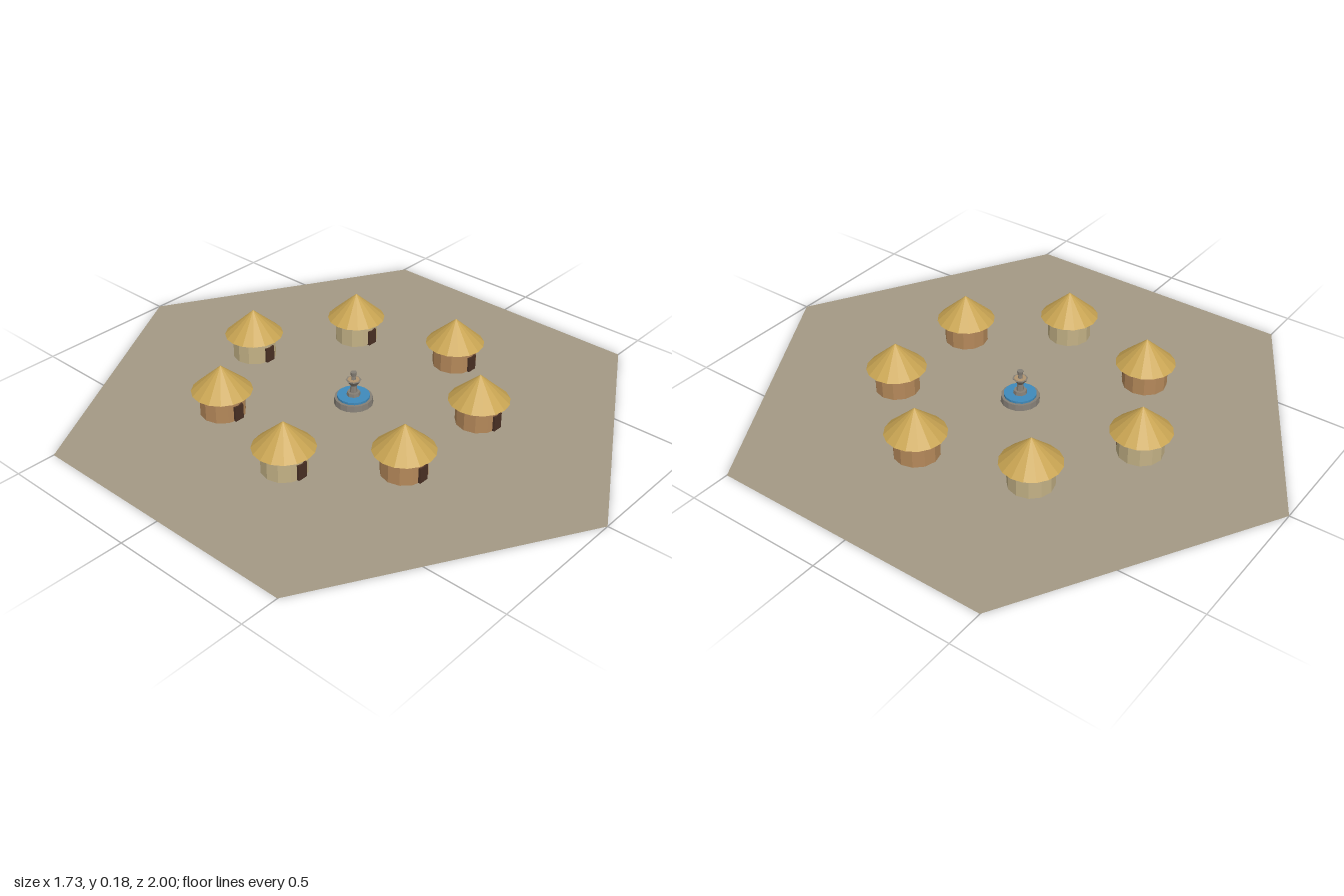
import * as THREE from 'three';

const material = (name, color, extra = {}) => {
  const m = new THREE.MeshStandardMaterial({ color, flatShading: true, ...extra });
  m.name = name;
  return m;
};

export function createModel() {
  const village = new THREE.Group();
  village.name = 'village';

  const earth = material('dry earth', 0xa39984, { side: THREE.DoubleSide });
  const thatch = material('thatch', 0xc8a452);
  const paleClay = material('pale clay', 0xc4b286);
  const brownClay = material('brown clay', 0xb5895a);
  const doorWood = material('dark door', 0x4a3024);
  const stone = material('stone', 0x857f76);
  const water = material('water', 0x3f8abb);
  const tan = material('tan stone', 0xb09470);

  const add = (parent, name, geometry, mat, x = 0, y = 0, z = 0) => {
    const mesh = new THREE.Mesh(geometry, mat);
    mesh.name = name;
    mesh.position.set(x, y, z);
    parent.add(mesh);
    return mesh;
  };

  // Flat hexagonal ground with corners on the z axis
  const ground = new THREE.CircleGeometry(1, 6, Math.PI / 2).rotateX(-Math.PI / 2);
  add(village, 'ground', ground, earth);

  // Round huts with conical roofs, doors all facing the front
  const wallHeight = 0.084, roofHeight = 0.094;
  const wallGeo = new THREE.CylinderGeometry(0.077, 0.077, wallHeight, 12);
  const roofGeo = new THREE.ConeGeometry(0.103, roofHeight, 16);
  const doorGeo = new THREE.BoxGeometry(0.036, 0.055, 0.009);
  const huts = [
    [0, -0.476, paleClay],
    [0.333, -0.286, paleClay], [-0.333, -0.286, brownClay],
    [0.428, 0.095, brownClay], [-0.428, 0.095, paleClay],
    [0.19, 0.381, brownClay], [-0.19, 0.381, brownClay],
  ];
  for (const [x, z, clay] of huts) {
    const hut = new THREE.Group();
    hut.name = 'hut';
    hut.position.set(x, 0, z);
    add(hut, 'wall', wallGeo, clay, 0, wallHeight / 2);
    add(hut, 'roof', roofGeo, thatch, 0, wallHeight + roofHeight / 2);
    add(hut, 'door', doorGeo, doorWood, 0, 0.0285, 0.076);
    village.add(hut);
  }

  // Fountain: stacked round tiers [name, top radius, bottom radius, bottom y, height, sides, material]
  const fountain = new THREE.Group();
  fountain.name = 'fountain';
  const tiers = [
    ['basin', 0.065, 0.067, 0, 0.022, 16, stone],
    ['pool', 0.056, 0.056, 0.022, 0.008, 16, water],
    ['pedestal', 0.022, 0.024, 0.03, 0.012, 8, stone],
    ['stem', 0.01, 0.013, 0.042, 0.028, 8, stone],
    ['bowl', 0.027, 0.01, 0.066, 0.022, 8, stone],
    ['bowlFloor', 0.021, 0.021, 0.088, 0.002, 8, tan],
    ['finialStem', 0.006, 0.008, 0.09, 0.016, 8, stone],
    ['finial', 0.011, 0.009, 0.104, 0.014, 8, stone],
  ];
  for (const [name, top, bottom, y, height, sides, mat] of tiers) {
    add(fountain, name, new THREE.CylinderGeometry(top, bottom, height, sides), mat, 0, y + height / 2);
  }
  village.add(fountain);

  return village;
}
